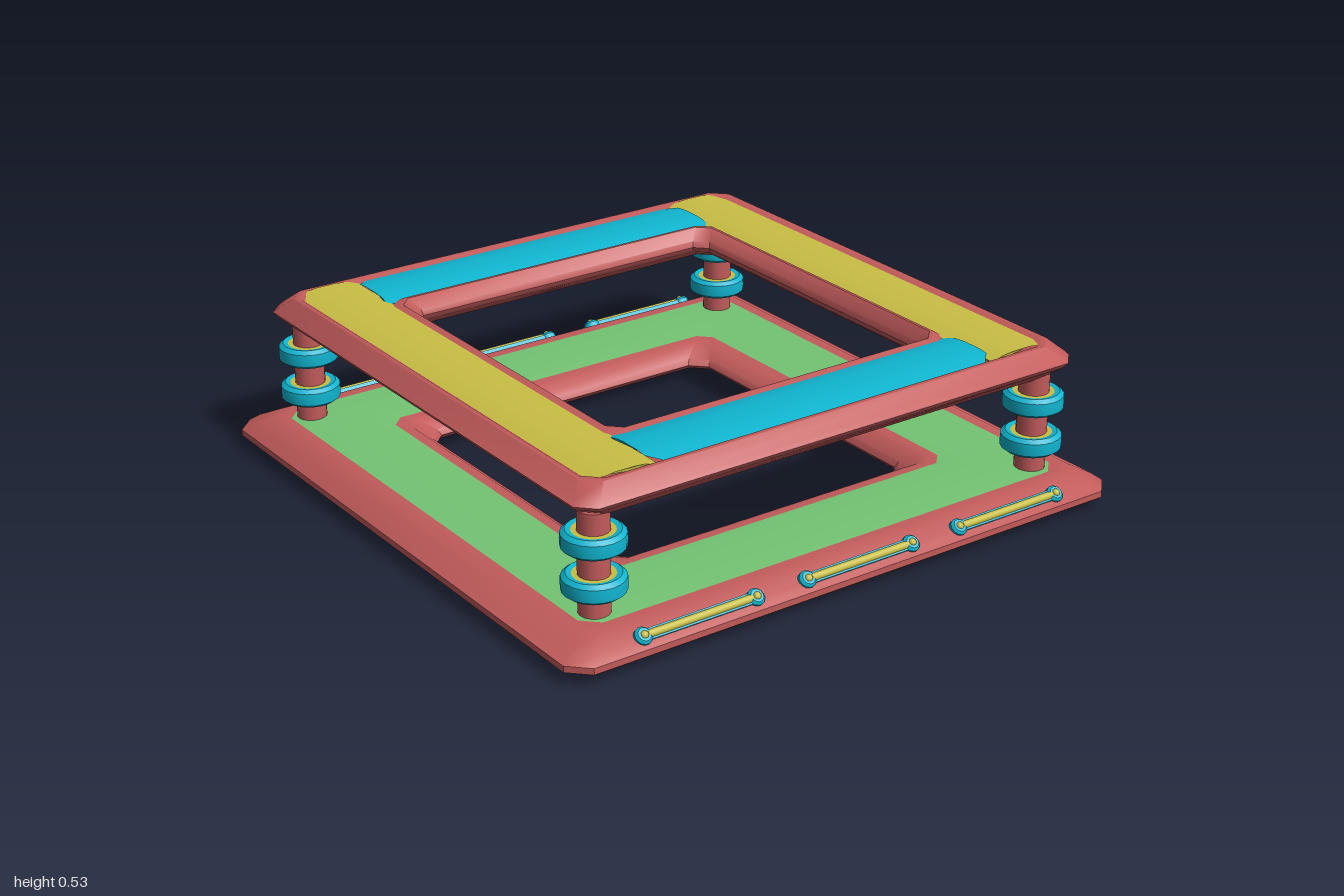
import * as THREE from 'three';
import { toCreasedNormals } from 'three/addons/utils/BufferGeometryUtils.js';

const paint = (color) => new THREE.MeshStandardMaterial({ color });

// Sweeps a profile of [halfSize, y, cornerCut] around a square with cut corners.
function squareRing(profile, closed) {
  const loops = profile.map(([h, y, c]) => {
    const s = h - c;
    return [[h, -s], [h, s], [s, h], [-s, h], [-h, s], [-h, -s], [-s, -h], [s, -h]]
      .map(([x, z]) => [x, y, z]);
  });
  const pos = [];
  const last = closed ? loops.length : loops.length - 1;
  for (let i = 0; i < last; i++) {
    const a = loops[i], b = loops[(i + 1) % loops.length];
    for (let k = 0; k < 8; k++) {
      const n = (k + 1) % 8;
      pos.push(...a[k], ...b[k], ...a[n], ...b[k], ...b[n], ...a[n]);
    }
  }
  const g = new THREE.BufferGeometry();
  g.setAttribute('position', new THREE.Float32BufferAttribute(pos, 3));
  return toCreasedNormals(g, 0.6);
}

// Domed panel running along z on the +x side, with its outer corners cut.
function panelStrip(length) {
  const shape = new THREE.Shape([
    [0.61, 0.50], [0.835, 0.50], [0.835, 0.515], [0.79, 0.526], [0.755, 0.53],
    [0.69, 0.53], [0.65, 0.526], [0.61, 0.515],
  ].map(([x, y]) => new THREE.Vector2(x, y)));
  const g = new THREE.ExtrudeGeometry(shape, { depth: length, bevelEnabled: false });
  g.translate(0, 0, -length / 2);
  const p = g.attributes.position;
  for (let i = 0; i < p.count; i++) {
    const cut = Math.max(0, p.getX(i) - 0.79);
    p.setZ(i, Math.sign(p.getZ(i)) * (length / 2 - cut));
  }
  return toCreasedNormals(g, 0.5);
}

function lathe(points, sides) {
  const g = new THREE.LatheGeometry(points.map(([x, y]) => new THREE.Vector2(x, y)), sides);
  return toCreasedNormals(g, 0.6);
}

export function createModel() {
  const model = new THREE.Group();
  const red = paint(0xc25b5b), blue = paint(0x10b5d0);
  const yellow = paint(0xc9be45), green = paint(0x74c474);

  const add = (parent, name, geometry, material) => {
    const mesh = new THREE.Mesh(geometry, material);
    mesh.name = name;
    parent.add(mesh);
    return mesh;
  };

  // Lower and upper square frames
  add(model, 'lowerFrame', squareRing([
    [0.98, 0.025, 0.06], [1.0, 0.04, 0.06], [1.0, 0.06, 0.06], [0.975, 0.08, 0.06],
    [0.92, 0.108, 0.05], [0.895, 0.11, 0.05], [0.61, 0.11, 0.04], [0.59, 0.105, 0.04],
    [0.55, 0.075, 0.05], [0.54, 0.055, 0.05], [0.56, 0.035, 0.05], [0.65, 0.008, 0.05],
    [0.72, 0, 0.05], [0.84, 0, 0.05], [0.93, 0.008, 0.06],
  ], true), red);
  add(model, 'lowerDeck', squareRing([
    [0.89, 0.109, 0.05], [0.85, 0.112, 0.05], [0.75, 0.114, 0.05],
    [0.66, 0.113, 0.045], [0.62, 0.109, 0.04],
  ], false), green);
  add(model, 'upperFrame', squareRing([
    [0.895, 0.46, 0.05], [0.905, 0.475, 0.05], [0.895, 0.487, 0.05], [0.855, 0.525, 0.05],
    [0.84, 0.525, 0.05], [0.82, 0.512, 0.05], [0.63, 0.512, 0.04], [0.61, 0.525, 0.04],
    [0.60, 0.525, 0.04], [0.57, 0.49, 0.04], [0.565, 0.47, 0.04], [0.575, 0.45, 0.04],
    [0.63, 0.412, 0.04], [0.68, 0.405, 0.04], [0.79, 0.405, 0.05], [0.84, 0.415, 0.05],
  ], true), red);

  // Panels along the four sides of the upper frame
  const shortStrip = panelStrip(1.25), longStrip = panelStrip(1.67);
  for (let k = 0; k < 4; k++) {
    const long = k % 2 === 1;
    const panel = add(model, long ? 'longPanel' : 'sidePanel',
      long ? longStrip : shortStrip, long ? yellow : blue);
    panel.rotation.y = k * Math.PI / 2;
  }

  // Corner posts, each with two collars
  const postGeo = new THREE.CylinderGeometry(0.048, 0.048, 0.33, 16);
  const collarGeo = lathe([
    [0.062, -0.027], [0.08, -0.031], [0.094, -0.02], [0.095, 0],
    [0.094, 0.02], [0.08, 0.031], [0.062, 0.027],
  ], 20);
  const collarCoreGeo = new THREE.CylinderGeometry(0.066, 0.066, 0.055, 20);
  for (const x of [-0.81, 0.81]) for (const z of [-0.81, 0.81]) {
    const post = new THREE.Group();
    post.name = 'cornerPost';
    post.position.set(x, 0, z);
    add(post, 'post', postGeo, red).position.y = 0.265;
    for (const y of [0.203, 0.337]) {
      add(post, 'collar', collarGeo, blue).position.y = y;
      add(post, 'collarCore', collarCoreGeo, yellow).position.y = y;
    }
    model.add(post);
  }

  // Handle bars with round end studs on the left and right bevels
  const baseGeo = new THREE.BoxGeometry(0.034, 0.02, 0.38);
  const rodGeo = new THREE.CylinderGeometry(0.012, 0.012, 0.36, 10).rotateX(Math.PI / 2);
  const studGeo = lathe([[0.027, -0.02], [0.027, 0.01], [0.02, 0.018], [0, 0.018]], 14);
  const dotGeo = new THREE.SphereGeometry(0.013, 10, 6);
  for (const side of [-1, 1]) for (const z of [-0.575, -0.005, 0.565]) {
    const bar = new THREE.Group();
    bar.name = 'handleBar';
    bar.position.set(side * 0.966, 0.083, z);
    bar.rotation.z = -side * 0.7;
    add(bar, 'barBase', baseGeo, blue);
    add(bar, 'barRod', rodGeo, yellow).position.y = 0.008;
    for (const end of [-0.193, 0.193]) {
      add(bar, 'stud', studGeo, blue).position.z = end;
      add(bar, 'studDot', dotGeo, yellow).position.set(0, 0.014, end);
    }
    model.add(bar);
  }
  return model;
}
